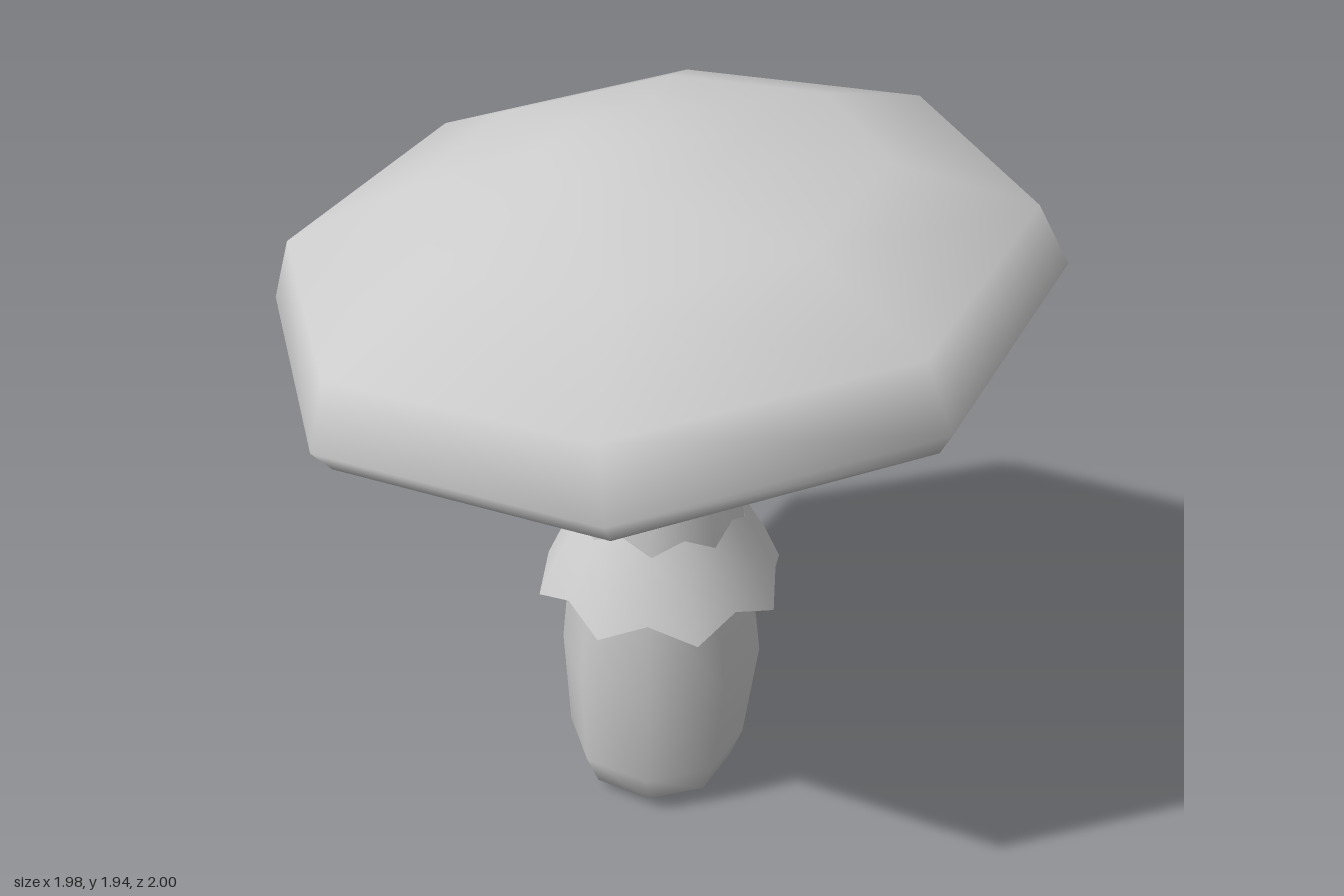
import * as THREE from 'three';
import { mergeVertices } from 'three/addons/utils/BufferGeometryUtils.js';

// Smooth skin over rings of points, listed from bottom to top
function loft(rings) {
  const n = rings[0].length, index = [];
  for (let j = 0; j < rings.length - 1; j++) {
    for (let i = 0; i < n; i++) {
      const k = (i + 1) % n;
      const a = j * n + i, b = a + n, c = (j + 1) * n + k, d = j * n + k;
      index.push(a, b, c, a, c, d);
    }
  }
  let geo = new THREE.BufferGeometry();
  geo.setAttribute('position', new THREE.Float32BufferAttribute(rings.flat(2), 3));
  geo.setIndex(index);
  geo = mergeVertices(geo, 1e-4);
  geo.computeVertexNormals();
  return geo;
}

// Regular ring of n points around (cx, cz)
function ring(r, y, cx = 0, cz = 0, n = 8) {
  return Array.from({ length: n }, (_, i) => {
    const a = (i / n) * Math.PI * 2;
    return [cx + r * Math.cos(a), y, cz + r * Math.sin(a)];
  });
}

// Flared collar whose odd points form eight teeth; row = [r, y, tooth r, tooth y]
function collar(rows) {
  return loft(rows.map(([r, y, tr, ty]) =>
    Array.from({ length: 16 }, (_, i) => {
      const a = (i / 16) * Math.PI * 2;
      const rad = i % 2 ? tr : r;
      return [rad * Math.cos(a), i % 2 ? ty : y, rad * Math.sin(a)];
    })));
}

export function createModel() {
  const model = new THREE.Group();
  const solid = new THREE.MeshStandardMaterial({ color: 0xcccccc });
  const thin = new THREE.MeshStandardMaterial({ color: 0xcccccc, side: THREE.DoubleSide });
  const add = (parent, name, geo, mat) => {
    const mesh = new THREE.Mesh(geo, mat);
    mesh.name = name;
    parent.add(mesh);
    return mesh;
  };

  // Bulging, slightly crooked stalk: radius, height, centre x, centre z
  const stalk = [
    [0, 0, -0.02, 0.02], [0.11, 0, -0.02, 0.02], [0.213, 0.04, -0.022, 0.022],
    [0.25, 0.14, -0.025, 0.025], [0.276, 0.45, -0.025, 0.045],
    [0.245, 0.74, -0.025, 0.042], [0.205, 1.02, -0.024, 0.042],
    [0.138, 1.45, -0.022, 0.008], [0.125, 1.56, -0.02, 0.0],
    [0, 1.56, -0.02, 0.0],
  ];
  add(model, 'stalk', loft(stalk.map(s => ring(...s))), solid);

  // Toothed skirt around the middle of the stalk
  const skirt = add(model, 'skirt', collar([
    [0.31, 0.73, 0.34, 0.68],
    [0.275, 0.8, 0.295, 0.78],
    [0.224, 0.885, 0.212, 0.925],
  ]), thin);
  skirt.position.set(-0.025, 0, 0.047);

  // Tilted cap
  const head = new THREE.Group();
  head.name = 'head';
  head.position.y = 1.535;
  head.rotation.set(-0.01, 0, 0.134);
  model.add(head);

  // Hollowed underside, rounded rim and low dome
  const cap = [
    [0, -0.005], [0.17, -0.015], [0.68, -0.1], [0.96, -0.065], [1, 0],
    [0.93, 0.16], [0.59, 0.29], [0.24, 0.375], [0, 0.378],
  ];
  add(head, 'cap', loft(cap.map(([r, y]) => ring(r, y))), solid);

  // Small toothed collar where the stalk meets the cap
  const upper = add(head, 'upperCollar', collar([
    [0.19, -0.06, 0.208, -0.085],
    [0.18, -0.03, 0.185, -0.04],
    [0.15, 0.0, 0.15, 0.0],
  ]), thin);
  upper.position.x = -0.02;

  return model;
}
